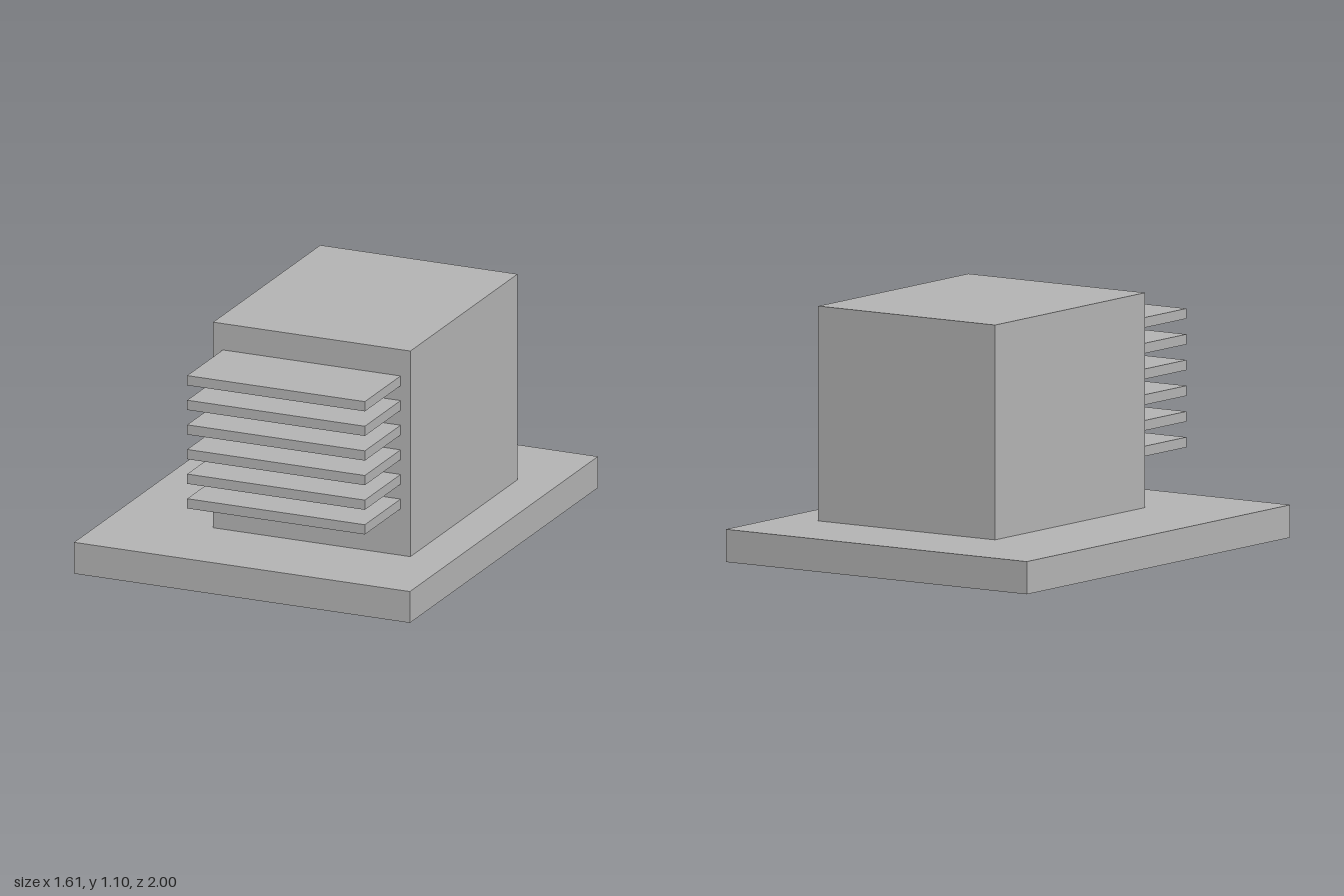
import * as THREE from 'three';

const grey = new THREE.MeshStandardMaterial({ color: 0xb2b2b2 });
grey.name = 'plain grey';

// Box given by its minimum and maximum corners
function box(name, [x0, y0, z0], [x1, y1, z1]) {
  const mesh = new THREE.Mesh(new THREE.BoxGeometry(x1 - x0, y1 - y0, z1 - z0), grey);
  mesh.position.set((x0 + x1) / 2, (y0 + y1) / 2, (z0 + z1) / 2);
  mesh.name = name;
  return mesh;
}

export function createModel() {
  const model = new THREE.Group();
  model.name = 'finnedBlock';

  // Ground slab and main block
  model.add(box('baseSlab', [-0.807, 0, -1], [0.807, 0.145, 1]));
  model.add(box('mainBlock', [-0.333, 0.145, -0.57], [0.615, 1.097, 0.57]));

  // Evenly spaced horizontal fins on the front face
  const fins = new THREE.Group();
  fins.name = 'frontFins';
  for (let i = 0; i < 6; i++) {
    const y = 0.36 + i * 0.114;
    fins.add(box(`fin${i + 1}`, [-0.286, y, 0.57], [0.568, y + 0.045, 0.95]));
  }
  model.add(fins);

  return model;
}
